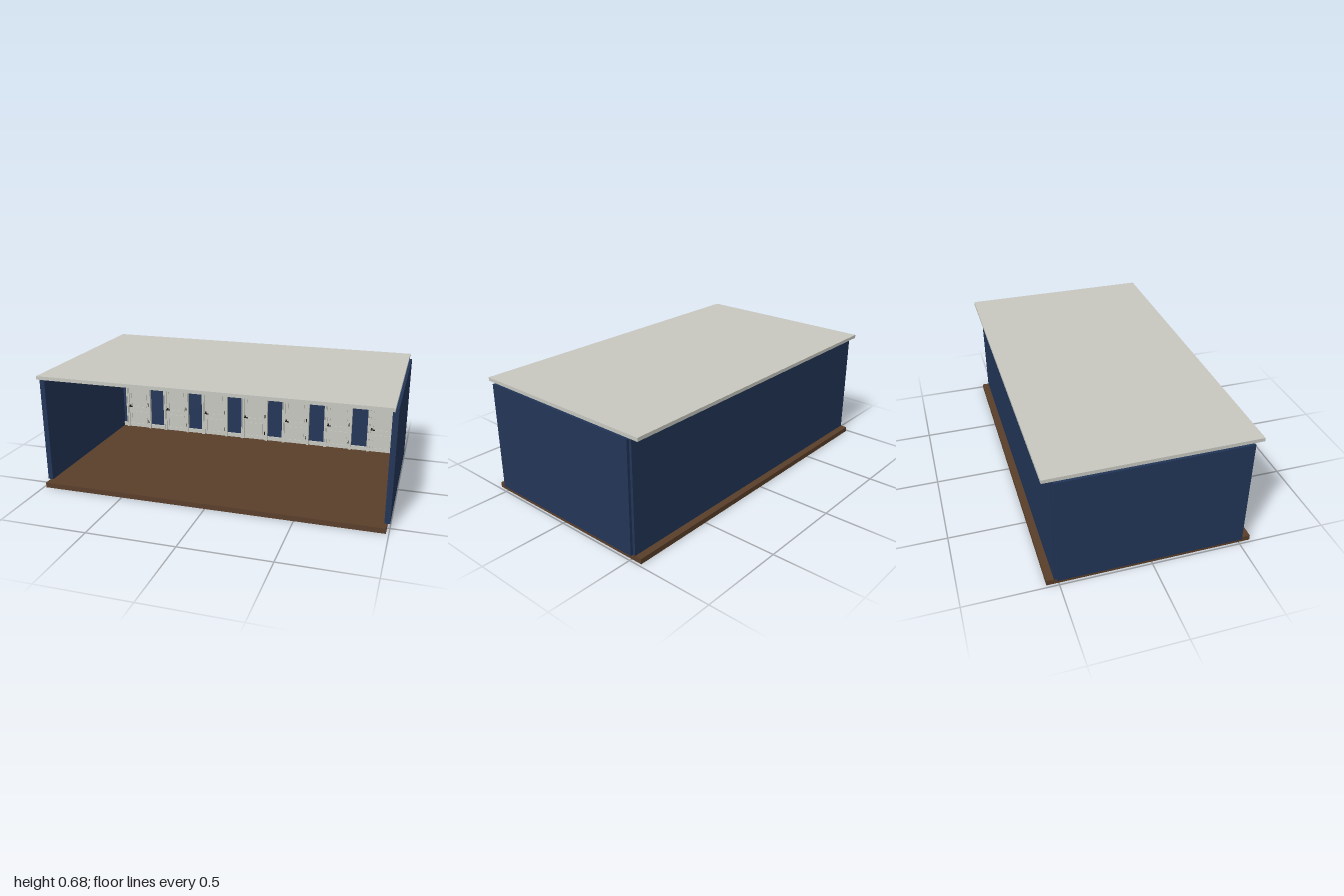
import * as THREE from 'three';

const mat = (name, color) => {
  const m = new THREE.MeshStandardMaterial({ color });
  m.name = name;
  return m;
};

export function createModel() {
  const navy = mat('navy wall', 0x223557);
  const pale = mat('pale paint', 0xc8c8c1);
  const brown = mat('brown wood', 0x5a3f2a);
  const dark = mat('dark metal', 0x1c1b1a);

  const room = new THREE.Group();
  room.name = 'room';
  const WALL = -0.495; // inner face of the back wall
  const FLOOR = 0.03;

  // Box given by its centre in x, its bottom in y and its back in z
  function box(parent, name, material, w, h, d, x, y, z) {
    const m = new THREE.Mesh(new THREE.BoxGeometry(w, h, d), material);
    m.name = name;
    m.position.set(x, y + h / 2, z + d / 2);
    parent.add(m);
    return m;
  }

  // Floor, roof and walls
  box(room, 'floor', brown, 1.97, FLOOR, 1.13, 0, 0, -0.565);
  box(room, 'roof', pale, 1.97, 0.02, 1.13, 0, 0.66, -0.565);
  box(room, 'backWall', navy, 1.97, 0.63, 0.03, 0, FLOOR, -0.525);
  for (const s of [-1, 1]) {
    box(room, s > 0 ? 'leftWall' : 'rightWall', navy, 0.03, 0.63, 1.02, s * 0.985, FLOOR, -0.51);
  }

  // Outline of a panel, with an optional arched top
  function outline(Type, w, y0, y1, rise) {
    const p = new Type();
    p.moveTo(-w / 2, y0);
    p.lineTo(w / 2, y0);
    p.lineTo(w / 2, y1 - rise);
    if (rise > 0) p.absellipse(0, y1 - rise, w / 2, rise, 0, Math.PI, false, 0);
    else p.lineTo(-w / 2, y1);
    p.closePath();
    return p;
  }

  // Raised moulding: the outline with a smaller copy cut out
  function moulding(w, y0, y1, rise) {
    const t = 0.005;
    const shape = outline(THREE.Shape, w, y0, y1, rise);
    shape.holes.push(outline(THREE.Path, w - 2 * t, y0 + t, y1 - t, rise));
    return new THREE.ExtrudeGeometry(shape, { depth: 0.004, bevelEnabled: false, curveSegments: 12 });
  }
  const mouldings = [
    ['archMoulding', moulding(0.116, 0.29, 0.342, 0.035)],
    ['middleMoulding', moulding(0.116, 0.145, 0.285, 0)],
    ['lowerMoulding', moulding(0.116, 0.02, 0.115, 0)],
  ];

  function makeDoor() {
    const door = new THREE.Group();
    door.name = 'door';
    box(door, 'leaf', pale, 0.146, 0.346, 0.01, 0, 0, 0);
    for (const [name, geometry] of mouldings) {
      const m = new THREE.Mesh(geometry, pale);
      m.name = name;
      m.position.z = 0.01;
      door.add(m);
    }
    // Stepped frame and cornice
    for (const s of [-1, 1]) {
      box(door, 'frameOuter', pale, 0.009, 0.35, 0.024, s * 0.086, 0, 0);
      box(door, 'frameInner', pale, 0.009, 0.35, 0.018, s * 0.077, 0, 0);
    }
    box(door, 'frameHead', pale, 0.163, 0.008, 0.018, 0, 0.342, 0);
    box(door, 'corniceLower', pale, 0.181, 0.007, 0.026, 0, 0.35, 0);
    box(door, 'corniceUpper', pale, 0.188, 0.007, 0.032, 0, 0.357, 0);
    // Lever handle
    box(door, 'handlePlate', dark, 0.01, 0.016, 0.004, -0.065, 0.146, 0.01);
    box(door, 'handleNeck', dark, 0.006, 0.006, 0.012, -0.065, 0.151, 0.014);
    box(door, 'handleLever', dark, 0.026, 0.006, 0.005, -0.056, 0.151, 0.026);
    // Hinges
    for (const y of [0.04, 0.16, 0.3]) {
      const hinge = new THREE.Mesh(new THREE.CylinderGeometry(0.003, 0.003, 0.022, 8), dark);
      hinge.name = 'hinge';
      hinge.position.set(0.073, y + 0.011, 0.018);
      door.add(hinge);
    }
    // Blank sign above the door
    box(door, 'signPlate', pale, 0.125, 0.027, 0.008, 0, 0.374, 0);
    box(door, 'signBand', dark, 0.07, 0.006, 0.001, 0, 0.385, 0.008);
    return door;
  }

  // Row of seven doors, with skirting in the gaps between them
  const step = 0.2833;
  for (let i = -3; i <= 3; i++) {
    const door = makeDoor();
    door.position.set(i * step, FLOOR, WALL);
    room.add(door);
    if (i < 3) box(room, 'skirting', pale, step - 0.181, 0.026, 0.01, (i + 0.5) * step, FLOOR, WALL);
  }
  for (const s of [-1, 1]) box(room, 'endSkirting', pale, 0.03, 0.026, 0.01, s * 0.955, FLOOR, WALL);

  // Three wall lamps with a pale strip underneath
  for (const x of [-0.65, 0, 0.65]) {
    const lamp = new THREE.Group();
    lamp.name = 'wallLamp';
    box(lamp, 'lampTop', brown, 0.215, 0.008, 0.05, x, 0.613, WALL);
    box(lamp, 'lampBody', brown, 0.205, 0.011, 0.044, x, 0.602, WALL);
    box(lamp, 'lampStrip', pale, 0.19, 0.008, 0.034, x, 0.594, WALL);
    room.add(lamp);
  }
  return room;
}
